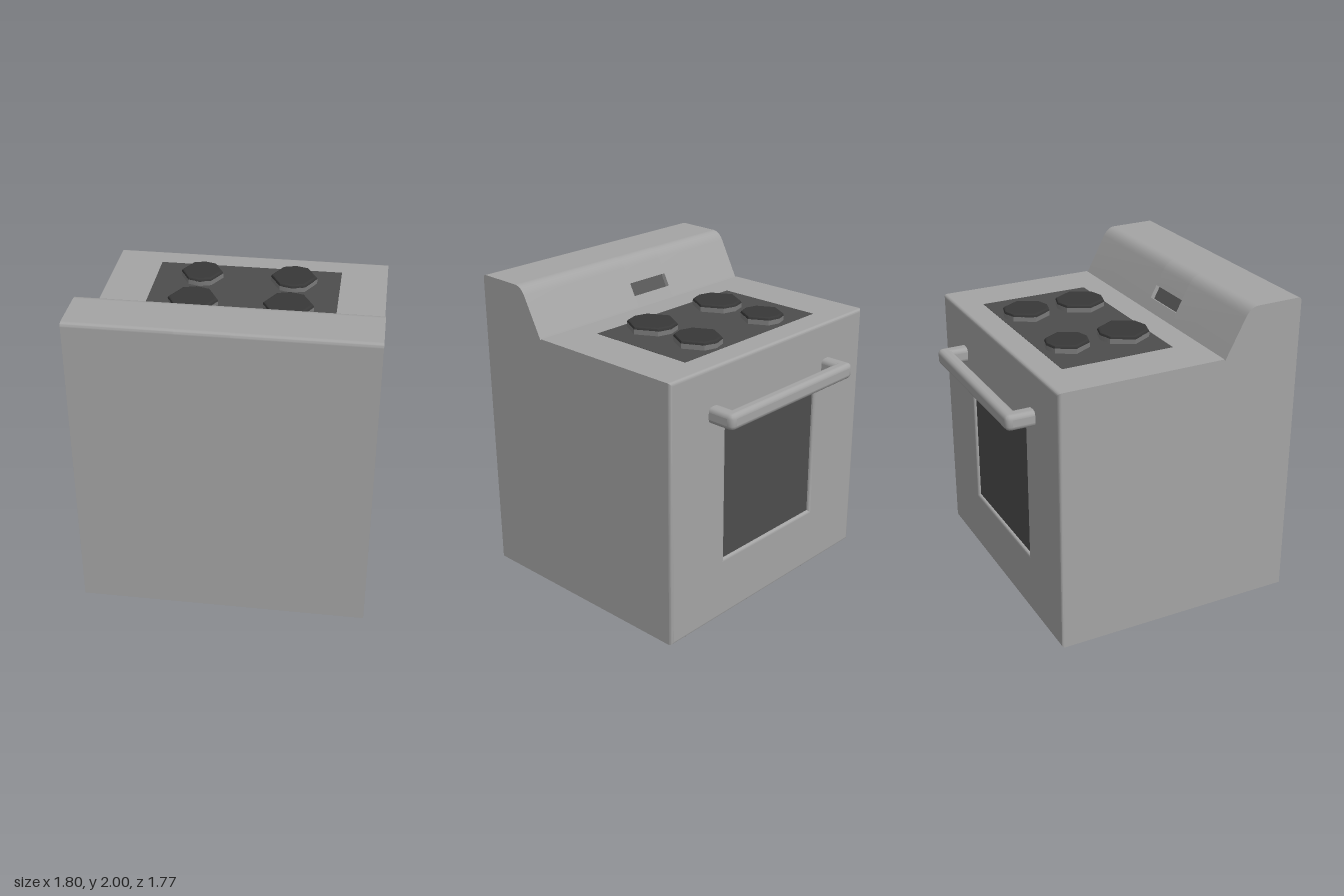
import * as THREE from 'three';
import { toCreasedNormals } from 'three/addons/utils/BufferGeometryUtils.js';

const material = (color) => new THREE.MeshStandardMaterial({ color });
const bodyGrey = material(0xa4a4a4);
const panelDark = material(0x4d4d4d);
const burnerDark = material(0x383838);
const burnerSide = material(0x7b7b7b);
const displayGrey = material(0x585858);

function add(parent, name, geometry, mat) {
  const mesh = new THREE.Mesh(geometry, mat);
  mesh.name = name;
  parent.add(mesh);
  return mesh;
}

// Extrusion with smooth bevels whose large axis-aligned faces stay evenly shaded
function extrude(shape, options) {
  const g = toCreasedNormals(new THREE.ExtrudeGeometry(shape, { curveSegments: 6, ...options }), 0.6);
  const { position, normal } = g.attributes;
  const tri = new THREE.Triangle(), n = new THREE.Vector3();
  for (let i = 0; i < position.count; i += 3) {
    tri.setFromAttributeAndIndices(position, i, i + 1, i + 2).getNormal(n);
    if (Math.max(Math.abs(n.x), Math.abs(n.y), Math.abs(n.z)) < 0.9999) continue;
    for (let k = 0; k < 3; k++) normal.setXYZ(i + k, n.x, n.y, n.z);
  }
  return g;
}

// Bevel that keeps the outline at its given size
const bevel = (size, segments) => ({
  bevelEnabled: true, bevelSize: size, bevelThickness: size, bevelOffset: -size, bevelSegments: segments,
});

const rect = (path, x0, y0, x1, y1) =>
  path.moveTo(x0, y0).lineTo(x1, y0).lineTo(x1, y1).lineTo(x0, y1).closePath();

const FRONT = -0.705, BACK = 0.885, BEVEL = 0.02, TOP = 1.7;
const slopeY = (z) => 1.69 + (z - 0.37) * 1.92;

// Side profile of the cabinet, drawn with u = -z; optionally notched for the display
function cabinetProfile(notched) {
  const s = new THREE.Shape();
  s.moveTo(-FRONT - BEVEL, 0);
  s.lineTo(-FRONT - BEVEL, TOP);
  s.lineTo(-0.365, TOP);
  s.lineTo(-0.37, 1.69);
  if (notched) {
    const dz = 0.027, dy = -0.014;
    s.lineTo(-0.41, slopeY(0.41));
    s.lineTo(-0.41 - dz, slopeY(0.41) + dy);
    s.lineTo(-0.45 - dz, slopeY(0.45) + dy);
    s.lineTo(-0.45, slopeY(0.45));
  }
  s.lineTo(-0.5, slopeY(0.5));
  s.quadraticCurveTo(-0.53, 1.995, -0.58, 1.997);
  s.lineTo(0.025 - BACK, 2);
  s.quadraticCurveTo(-BACK, 2, -BACK, 1.975);
  s.lineTo(-BACK, 0);
  s.closePath();
  return s;
}

// Octagonal burner outline, slightly stretched along its flat ends
function burnerShape(r) {
  const angles = [0, 57, 90, 123, 180, 237, 270, 303];
  return new THREE.Shape(angles.map((a) => {
    const t = THREE.MathUtils.degToRad(a);
    return new THREE.Vector2(r * Math.cos(t), r * Math.sin(t));
  }));
}

export function createModel() {
  const model = new THREE.Group();
  model.name = 'stove';

  // Cabinet in three widths, the middle one carrying the display notch
  const cabinet = new THREE.Group();
  cabinet.name = 'cabinet';
  model.add(cabinet);
  [[-0.9, -0.26, false], [-0.26, 0.06, true], [0.06, 0.9, false]].forEach(([x0, x1, notched]) => {
    const g = extrude(cabinetProfile(notched), { depth: x1 - x0, bevelEnabled: false });
    g.rotateY(Math.PI / 2).translate(x0, 0, 0);
    add(cabinet, notched ? 'cabinetMiddle' : 'cabinetSide', g, bodyGrey);
  });

  // Display strip on the floor of the notch
  const display = add(model, 'display', new THREE.PlaneGeometry(0.32, 0.087), displayGrey);
  display.rotation.order = 'YXZ';
  display.rotation.set(-Math.atan2(0.04, 0.0768), Math.PI, 0);
  display.position.set(-0.1, slopeY(0.43) - 0.013, 0.455);

  // Door face with rounded edges and a window opening
  const door = new THREE.Shape();
  rect(door, -0.9, 0, 0.9, TOP);
  const opening = new THREE.Path();
  rect(opening, -0.425, 0.405, 0.425, 1.275);
  door.holes.push(opening);
  const doorGeometry = extrude(door, { depth: 0.001, ...bevel(BEVEL, 3) });
  add(model, 'door', doorGeometry.translate(0, 0, FRONT + BEVEL), bodyGrey);

  // Oven window behind the opening
  const glass = new THREE.PlaneGeometry(0.86, 0.88).rotateY(Math.PI);
  add(model, 'ovenWindow', glass.translate(0, 0.84, FRONT + BEVEL - 0.002), panelDark);

  // U-shaped door handle, drawn from above and thickened upwards
  const u = new THREE.Shape();
  u.moveTo(0.58, 0.67);
  u.lineTo(0.58, 0.845);
  u.quadraticCurveTo(0.58, 0.885, 0.54, 0.885);
  u.lineTo(-0.54, 0.885);
  u.quadraticCurveTo(-0.58, 0.885, -0.58, 0.845);
  u.lineTo(-0.58, 0.67);
  u.lineTo(-0.49, 0.67);
  u.lineTo(-0.49, 0.8);
  u.lineTo(0.49, 0.8);
  u.lineTo(0.49, 0.67);
  u.closePath();
  const handle = extrude(u, { depth: 0.044, ...bevel(0.028, 3) });
  add(model, 'handle', handle.rotateX(-Math.PI / 2).translate(0, 1.388, 0), bodyGrey);

  // Cooktop panel
  const cooktop = new THREE.BoxGeometry(1.2, 0.01, 0.73);
  add(model, 'cooktop', cooktop.translate(0, TOP - 0.0035, -0.175), panelDark);

  // Burners: a pale rim under a dark bevelled cap
  [[-0.3, -0.365, 0.137], [0.3, -0.365, 0.15], [-0.3, 0.015, 0.16], [0.3, 0.015, 0.16]].forEach(([x, z, r]) => {
    const burner = new THREE.Group();
    burner.name = 'burner';
    burner.position.set(x, TOP, z);
    model.add(burner);
    const rim = extrude(burnerShape(r), { depth: 0.033, bevelEnabled: false });
    add(burner, 'burnerRim', rim.rotateX(-Math.PI / 2), burnerSide);
    const cap = extrude(burnerShape(r), { depth: 0.003, ...bevel(0.016, 2) });
    add(burner, 'burnerCap', cap.rotateX(-Math.PI / 2).translate(0, 0.031, 0), burnerDark);
  });

  return model;
}
